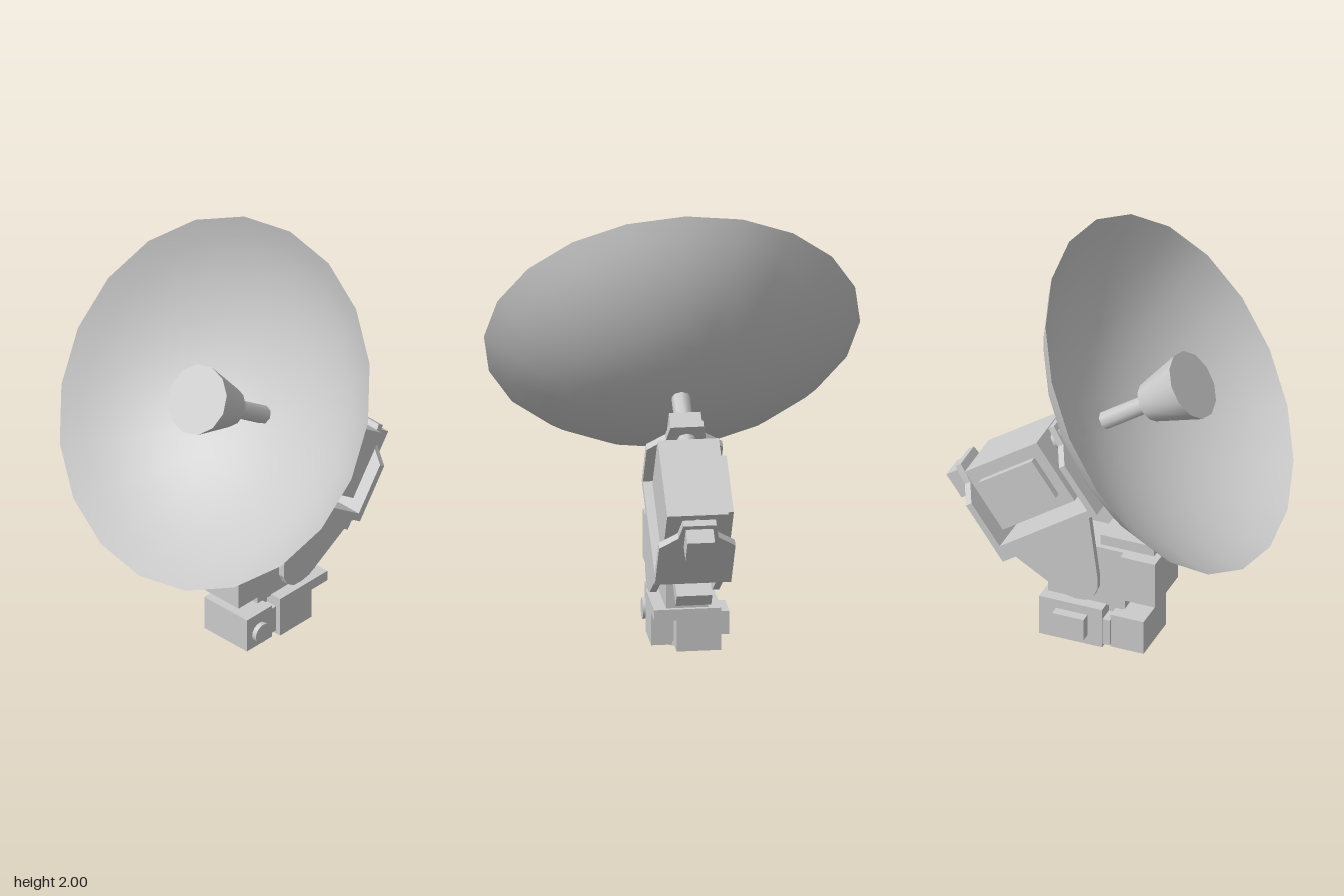
import * as THREE from 'three';

const flat = new THREE.MeshStandardMaterial({ color: 0xcccccc, flatShading: true });
const smooth = new THREE.MeshStandardMaterial({ color: 0xcccccc });
const shell = new THREE.MeshStandardMaterial({ color: 0xcccccc, side: THREE.DoubleSide });

function add(parent, name, geometry, material = flat) {
  const mesh = new THREE.Mesh(geometry, material);
  mesh.name = name;
  parent.add(mesh);
  return mesh;
}

// Box given by its minimum and maximum on each axis
function box(parent, name, [x0, x1], [y0, y1], [z0, z1]) {
  const g = new THREE.BoxGeometry(x1 - x0, y1 - y0, z1 - z0);
  g.translate((x0 + x1) / 2, (y0 + y1) / 2, (z0 + z1) / 2);
  return add(parent, name, g);
}

// Round bar or cone along z, from z0 (radius r0) to z1 (radius r1)
function rod(parent, name, r0, r1, z0, z1, sides) {
  const g = new THREE.CylinderGeometry(r1, r0, z1 - z0, sides);
  g.rotateX(Math.PI / 2).translate(0, 0, (z0 + z1) / 2);
  return add(parent, name, g, smooth);
}

function extrude(points, depth) {
  const shape = new THREE.Shape(points.map(([x, y]) => new THREE.Vector2(x, y)));
  return new THREE.ExtrudeGeometry(shape, { depth, bevelEnabled: false });
}

function buildHead() {
  // Local +z is the pointing axis; the origin is the centre of the dish rim
  const head = new THREE.Group();
  head.name = 'tiltingHead';
  head.position.set(0, 1.315, 0.28);
  head.rotation.x = -THREE.MathUtils.degToRad(35);

  // Dish: a shallow spherical cap
  const R = 1.113, depth = 0.378, rings = 9;
  const rimAngle = Math.acos((R - depth) / R);
  const profile = [];
  for (let i = 0; i <= rings; i++) {
    const t = (rimAngle * i) / rings;
    profile.push(new THREE.Vector2(R * Math.sin(t), R - depth - R * Math.cos(t)));
  }
  const dish = new THREE.LatheGeometry(profile, 20);
  // the cap opens towards +z
  dish.rotateX(Math.PI / 2);
  add(head, 'dish', dish, shell);

  // Feed and its shaft
  rod(head, 'feedHorn', 0.09, 0.158, -0.11, 0.135, 12);
  rod(head, 'shaft', 0.042, 0.042, -1.16, -0.1, 8);

  // Drive housing with a raised panel on one side
  box(head, 'driveHousing', [-0.137, 0.137], [-0.247, 0.07], [-1.075, -0.657]);
  box(head, 'housingPanel', [-0.17, -0.13], [-0.19, 0.01], [-1.02, -0.71]);

  // Cradle: floor plate and two end arms that narrow at the bearings
  box(head, 'cradleFloor', [-0.17, 0.17], [-0.336, -0.302], [-1.146, -0.574]);
  const arm = [
    [-0.17, -0.336], [0.17, -0.336], [0.17, -0.067], [0.09, 0.0],
    [0.075, 0.09], [-0.075, 0.09], [-0.09, 0.0], [-0.17, -0.067],
  ];
  for (const [name, z] of [['frontCradleArm', -0.605], ['rearCradleArm', -1.147]]) {
    add(head, name, extrude(arm, 0.032).translate(0, 0, z));
  }
  box(head, 'frontBearing', [-0.07, 0.07], [-0.062, 0.062], [-0.58, -0.503]);
  box(head, 'rearBearing', [-0.062, 0.062], [-0.062, 0.065], [-1.223, -1.14]);
  box(head, 'cradleStop', [-0.08, 0.08], [-0.406, -0.336], [-1.215, -1.0]);
  return head;
}

function buildMount() {
  const mount = new THREE.Group();
  mount.name = 'mount';

  // Yoke cheeks; outline points are [-z, y]
  const cheek = [
    [0.04, 0.675], [0.46, 0.39], [0.42, 0.4], [0.16, 0.245], [0.11, 0.235], [0.06, 0.237],
    [0.02, 0.265], [0.0, 0.31], [0.0, 0.37],
  ];
  for (const [name, x] of [['leftYokeCheek', 0.125], ['rightYokeCheek', -0.155]]) {
    add(mount, name, extrude(cheek, 0.03).rotateY(Math.PI / 2).translate(x, 0, 0));
  }
  const pivot = new THREE.CylinderGeometry(0.06, 0.06, 0.27, 16);
  pivot.rotateZ(Math.PI / 2).translate(0, 0.33, -0.09);
  add(mount, 'tiltPivot', pivot, smooth);

  // Column with the motor housing in front
  box(mount, 'column', [-0.095, 0.095], [0.195, 0.49], [-0.26, 0.106]);
  box(mount, 'columnRearBoss', [-0.05, 0.05], [0.32, 0.375], [-0.31, -0.25]);
  box(mount, 'tiltMotor', [-0.132, 0.132], [0.265, 0.49], [0.1, 0.265]);
  box(mount, 'tiltMotorLid', [-0.07, 0.07], [0.48, 0.54], [-0.02, 0.235]);
  return mount;
}

function buildBase() {
  const base = new THREE.Group();
  base.name = 'base';

  // Base block with a notch in the rear corner, closed by a top slab
  const plan = [
    [-0.15, -0.02], [0.15, -0.02], [0.15, 0.18], [0.05, 0.18], [0.05, 0.28], [-0.15, 0.28],
  ];
  const block = extrude(plan, 0.146).rotateX(-Math.PI / 2).scale(1, 1, 1);
  add(base, 'baseBlock', block.translate(0, 0.004, 0)).position.z = 0;
  box(base, 'baseTop', [-0.15, 0.15], [0.15, 0.2], [-0.28, 0.02]);
  const foot = new THREE.CylinderGeometry(0.1, 0.1, 0.02, 24);
  add(base, 'footDisc', foot.translate(0, 0.01, -0.1), smooth);

  // Turning motor in front, with a round cap, and a box on the other side
  box(base, 'motorLink', [-0.07, 0.07], [0.05, 0.2], [0.015, 0.085]);
  box(base, 'motorFlange', [-0.145, 0.125], [0.02, 0.15], [0.015, 0.055]);
  box(base, 'turnMotor', [-0.13, 0.13], [0.005, 0.172], [0.052, 0.21]);
  const cap = new THREE.CylinderGeometry(0.047, 0.047, 0.04, 16);
  add(base, 'motorCap', cap.rotateZ(Math.PI / 2).translate(0.133, 0.073, 0.13), smooth);
  box(base, 'sideBox', [-0.195, -0.14], [0.05, 0.157], [-0.2, -0.05]);
  return base;
}

export function createModel() {
  const model = new THREE.Group();
  model.name = 'dishAntenna';
  model.add(buildHead(), buildMount(), buildBase());
  return model;
}
